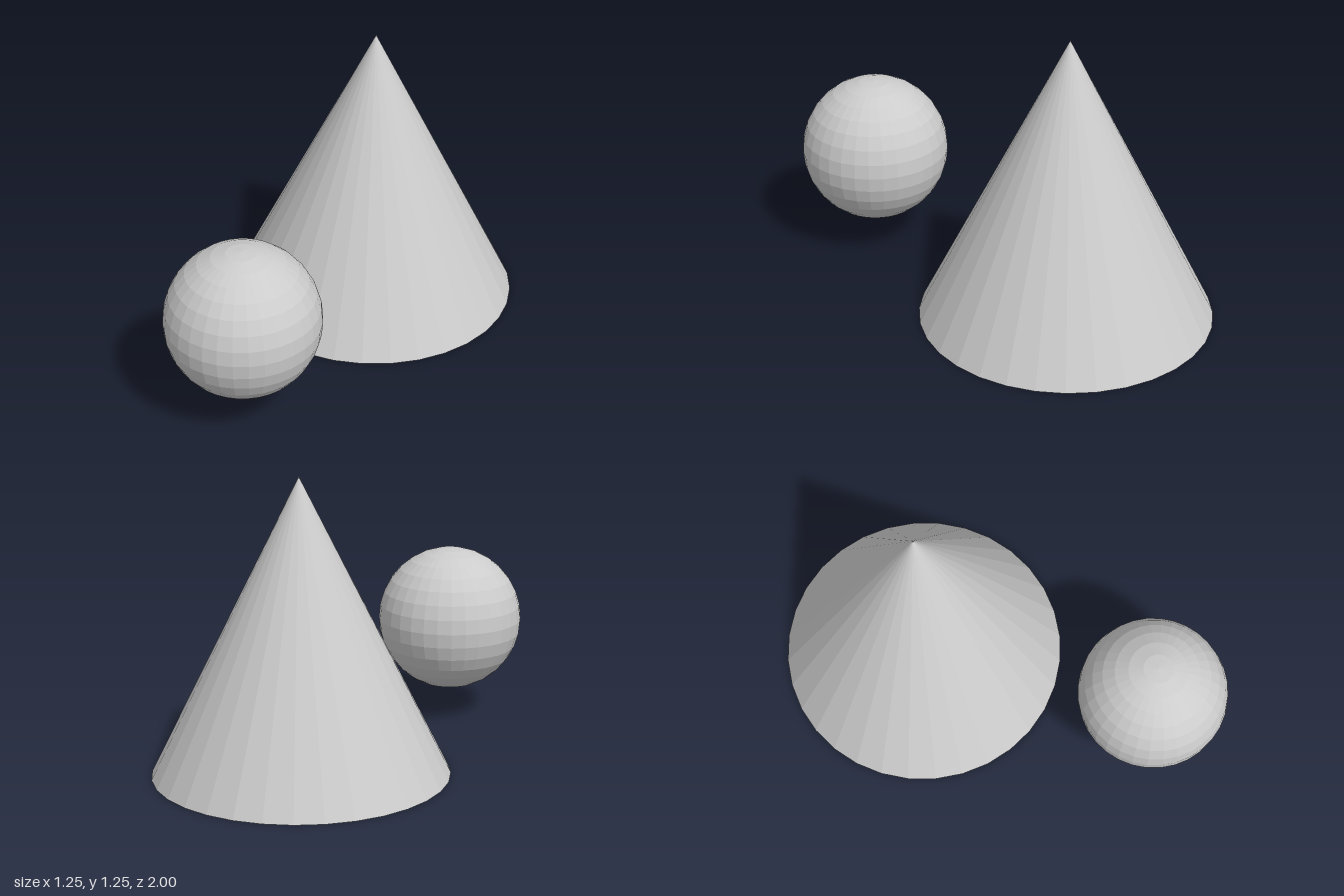
import * as THREE from 'three';

export function createModel() {
  const model = new THREE.Group();
  const material = new THREE.MeshStandardMaterial({ color: 0xcccccc, flatShading: true });

  const add = (name, geometry, x, y, z) => {
    const mesh = new THREE.Mesh(geometry, material);
    mesh.name = name;
    mesh.position.set(x, y, z);
    model.add(mesh);
  };

  // Large faceted cone standing on the ground, with a closed base
  const coneHeight = 1.25;
  add('cone', new THREE.ConeGeometry(0.624, coneHeight, 32), 0, coneHeight / 2, -0.376);

  // Faceted ball floating in front of the cone
  add('ball', new THREE.SphereGeometry(0.322, 32, 16), 0.152, 0.447, 0.678);

  return model;
}
